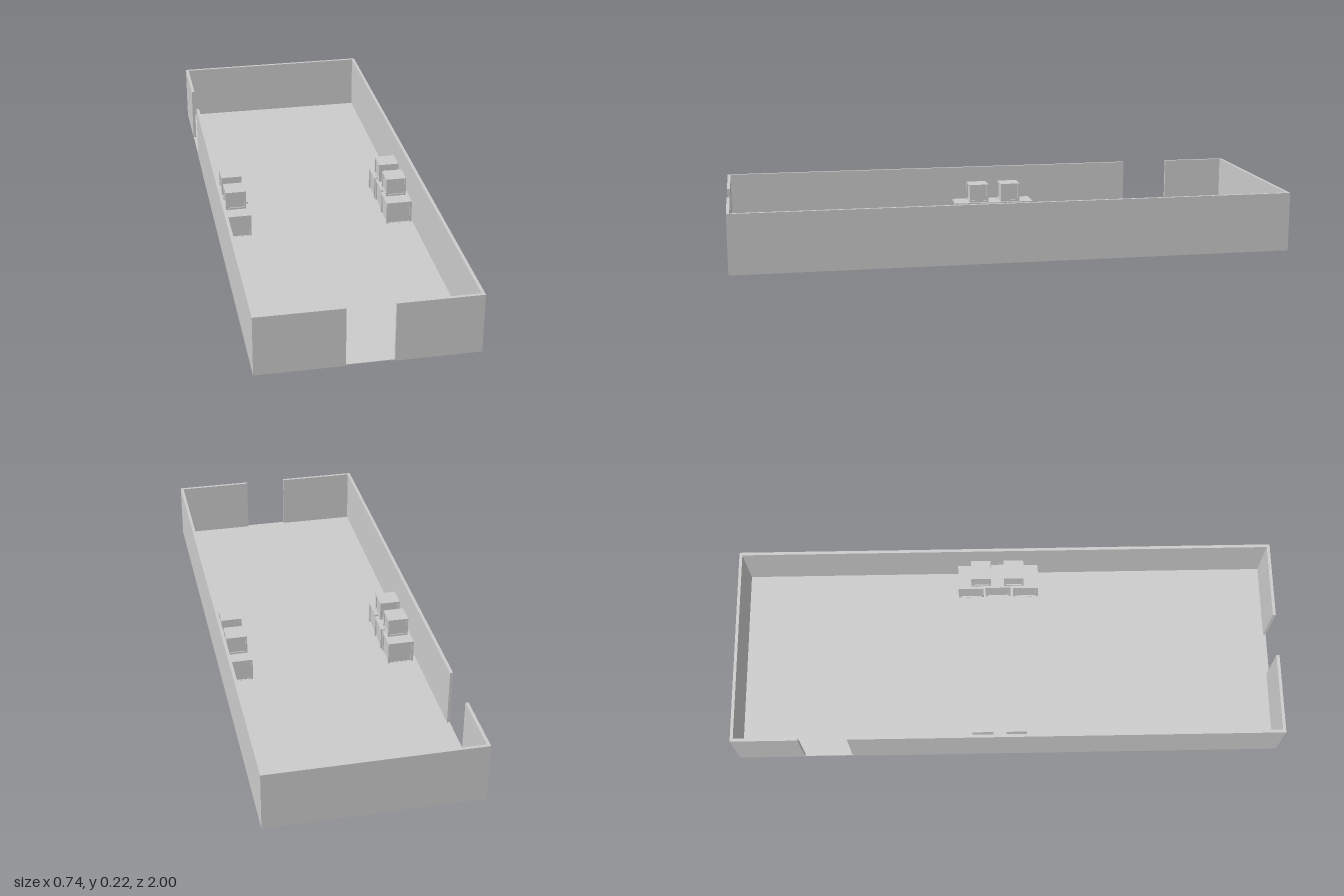
import * as THREE from 'three';

const material = new THREE.MeshStandardMaterial({ color: 0xcccccc, flatShading: true });

// Box given by its extents on each axis
function block(name, [x0, x1], [y0, y1], [z0, z1]) {
  const mesh = new THREE.Mesh(new THREE.BoxGeometry(x1 - x0, y1 - y0, z1 - z0), material);
  mesh.position.set((x0 + x1) / 2, (y0 + y1) / 2, (z0 + z1) / 2);
  mesh.name = name;
  return mesh;
}

// Crate with a flat lid and base, corner posts and recessed side panels
function crate(name, x, y, z, width, height) {
  const group = new THREE.Group();
  group.name = name;
  const h = width / 2, rim = width * 0.09, inset = width * 0.05;
  group.add(
    block('crateBase', [-h, h], [0, rim], [-h, h]),
    block('crateLid', [-h, h], [height - rim, height], [-h, h]),
    block('cratePanels', [inset - h, h - inset], [rim, height - rim], [inset - h, h - inset])
  );
  for (const sx of [-1, 1]) for (const sz of [-1, 1]) {
    const post = block('cratePost', [-rim / 2, rim / 2], [rim, height - rim], [-rim / 2, rim / 2]);
    post.position.x = sx * (h - rim / 2);
    post.position.z = sz * (h - rim / 2);
    group.add(post);
  }
  group.position.set(x, y, z);
  return group;
}

// Three crates in a row with two smaller ones on top
function crateStack(name, x) {
  const group = new THREE.Group();
  group.name = name;
  const low = 0.092;
  [-0.132, -0.028, 0.078].forEach((z, i) =>
    group.add(crate('lowerCrate', i === 1 ? 0.003 : 0, 0, z, 0.096, low)));
  for (const z of [-0.092, 0.032]) group.add(crate('upperCrate', 0, low, z, 0.075, 0.07));
  group.position.x = x;
  return group;
}

export function createModel() {
  const model = new THREE.Group();
  model.name = 'walledYard';
  const X = 0.37, Z = 1, T = 0.011, wallY = [0.003, 0.216];

  // Floor slab, slightly above the foot of the walls
  model.add(block('floor', [-X + 0.001, X - 0.001], [0.005, 0.008], [-Z + 0.001, Z - 0.001]));

  // Closed walls
  model.add(
    block('backWall', [-X, X], wallY, [-Z, -Z + T]),
    block('leftWall', [X - T, X], wallY, [-Z + T, Z - T])
  );

  // Front wall and right wall, each split by a doorway
  model.add(
    block('frontWallRight', [-X, -0.075], wallY, [Z - T, Z]),
    block('frontWallLeft', [0.084, X], wallY, [Z - T, Z]),
    block('rightWallBack', [-X, -X + T], wallY, [-Z + T, -0.757]),
    block('rightWallFront', [-X, -X + T], wallY, [-0.58, Z - T])
  );

  // Crates along both long walls
  model.add(crateStack('rightCrates', -0.297), crateStack('leftCrates', 0.307));
  return model;
}
